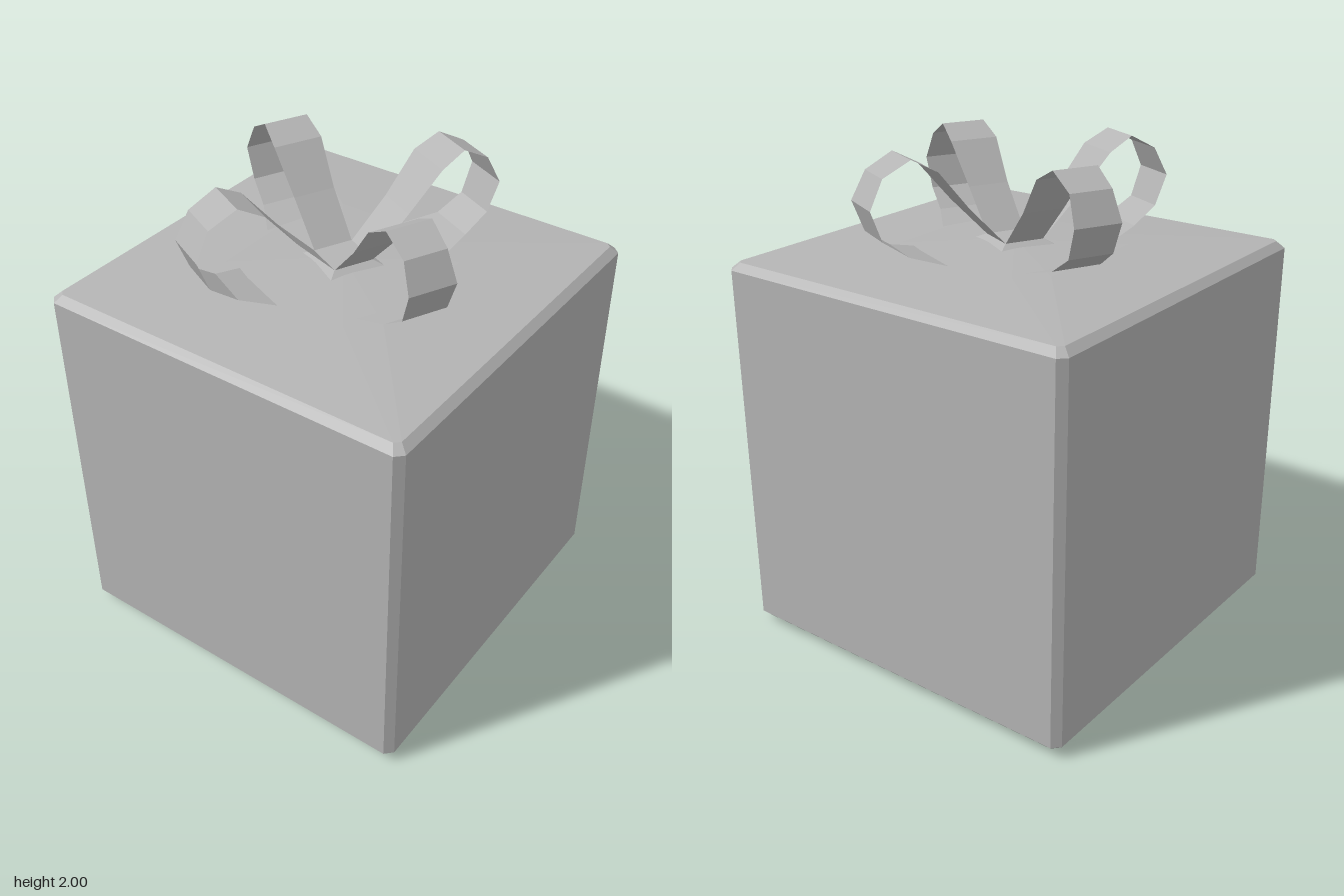
import * as THREE from 'three';

// Skin a list of cross-sections (arrays of [x, y, z]); closed joins each section's ends.
function skin(sections, closed) {
  const n = sections[0].length, index = [];
  const cols = closed ? n : n - 1;
  for (let s = 0; s < sections.length - 1; s++) {
    for (let i = 0; i < cols; i++) {
      const a = s * n + i, b = s * n + (i + 1) % n;
      index.push(a, b, b + n, a, b + n, a + n);
    }
  }
  const geo = new THREE.BufferGeometry();
  geo.setAttribute('position', new THREE.Float32BufferAttribute(sections.flat(2), 3));
  geo.setIndex(index);
  const flat = geo.toNonIndexed();
  flat.computeVertexNormals();
  return flat;
}

// Square ring with clipped corners, counter-clockwise from above.
function squareRing(half, clip, y) {
  const ring = [], c = half - clip;
  for (let k = 0; k < 4; k++) {
    const a = k * Math.PI / 2, co = Math.cos(a), si = Math.sin(a);
    for (const [u, v] of [[half, c], [c, half]]) {
      ring.push([u * co - v * si, y, -(u * si + v * co)]);
    }
  }
  return ring;
}

export function createModel() {
  const model = new THREE.Group();
  model.name = 'giftBox';
  const grey = new THREE.MeshStandardMaterial({ color: 0xb4b4b4, flatShading: true, side: THREE.DoubleSide });
  grey.name = 'plain grey';

  // Chamfered box with a softly domed top and a slightly bulging base
  const levels = [
    [0, 0, 0], [0.4, 0.02, 0.006], [0.745, 0.02, 0.02], [0.775, 0.03, 0.05],
    [0.78, 0.03, 1.55], [0.75, 0.02, 1.578], [0.36, 0.1, 1.607], [0, 0, 1.628],
  ];
  const box = new THREE.Mesh(skin(levels.map(([h, c, y]) => squareRing(h, c, y)), true), grey);
  box.name = 'box';
  model.add(box);

  // Bow, turned slightly against the box
  const bow = new THREE.Group();
  bow.name = 'bow';
  bow.rotation.y = -0.45;
  model.add(bow);

  const knot = new THREE.Mesh(new THREE.CylinderGeometry(0.115, 0.19, 0.03, 4), grey);
  knot.geometry.rotateY(Math.PI / 4);
  knot.position.y = 1.622;
  knot.name = 'knot';
  bow.add(knot);

  // Ribbon loop: distance from centre, height, half width
  const path = [
    [0.08, 1.636, 0.08], [0.23, 1.79, 0.085], [0.36, 1.945, 0.1], [0.46, 1.998, 0.09],
    [0.57, 1.94, 0.085], [0.625, 1.83, 0.095], [0.58, 1.71, 0.09], [0.48, 1.642, 0.1],
    [0.33, 1.6, 0.155],
  ];
  const loopGeo = skin(path.map(([r, y, w]) => [[r, y, w], [r, y, -w]]), false);
  for (let k = 0; k < 4; k++) {
    const loop = new THREE.Mesh(loopGeo, grey);
    loop.name = 'ribbonLoop' + (k + 1);
    loop.rotation.y = k * Math.PI / 2;
    bow.add(loop);
  }
  return model;
}
